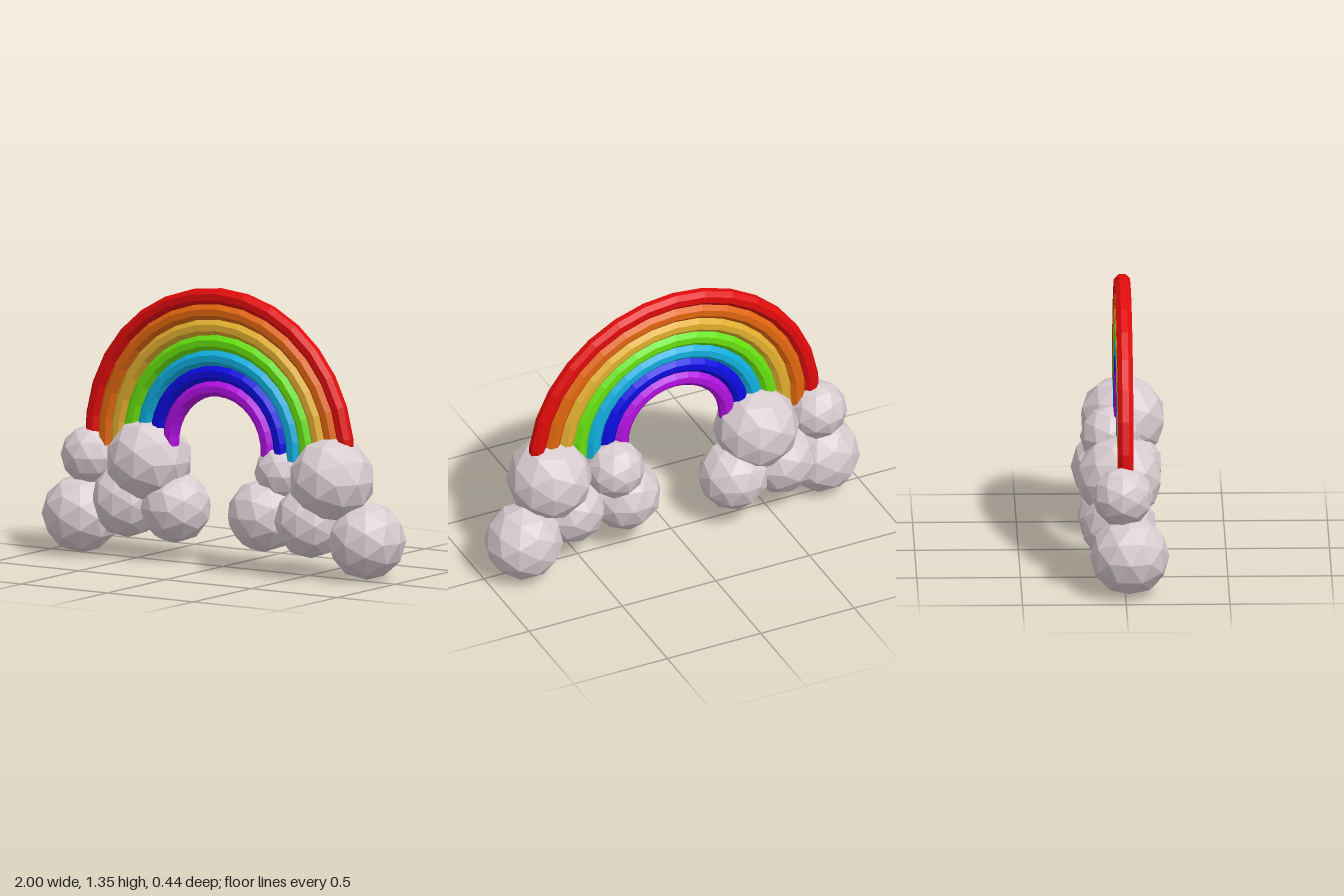
import * as THREE from 'three';

const material = (name, color) => {
  const m = new THREE.MeshStandardMaterial({ color, flatShading: true });
  m.name = name;
  return m;
};

// Octagonal tube swept along a low-poly half circle standing in the xy plane
function archGeometry(radius, tube) {
  const profile = [];
  for (let i = 0; i <= 8; i++) {
    const a = (i + 0.5) * Math.PI / 4;
    profile.push(new THREE.Vector2(radius + tube * Math.cos(a), tube * Math.sin(a)));
  }
  const extra = 0.07; // ends sink into the clouds
  const g = new THREE.LatheGeometry(profile, 16, -Math.PI / 2 - extra, Math.PI + 2 * extra);
  return g.rotateX(-Math.PI / 2);
}

export function createModel() {
  const model = new THREE.Group();
  model.name = 'rainbowWithClouds';

  // Rainbow: nested bands from the outside in
  const rainbow = new THREE.Group();
  rainbow.name = 'rainbow';
  rainbow.position.set(-0.016, 0.577, 0.003);
  const bands = [
    ['red', 0xe20c0c], ['orange', 0xe0660f], ['yellow', 0xe0ae2e], ['green', 0x66e010],
    ['lightBlue', 0x10aede], ['blue', 0x0c0ce0], ['violet', 0xb010e0],
  ];
  bands.forEach(([name, color], i) => {
    const band = new THREE.Mesh(archGeometry(0.735 - i * 0.075, 0.0405), material(name, color));
    band.name = name + 'Band';
    rainbow.add(band);
  });
  model.add(rainbow);

  // Clouds: faceted puffs given as x, y, z, radius
  const cloudMaterial = material('cloudGrey', 0xd9ccd1);
  const puffGeometry = new THREE.IcosahedronGeometry(1, 1);
  const clouds = {
    rightCloud: [
      [-0.81, 0.187, 0.02, 0.192], [-0.57, 0.268, -0.025, 0.183], [-0.31, 0.252, -0.05, 0.175],
      [-0.775, 0.472, -0.012, 0.147], [-0.445, 0.475, -0.022, 0.21],
    ],
    leftCloud: [
      [0.808, 0.187, -0.04, 0.192], [0.53, 0.265, 0.027, 0.18], [0.245, 0.268, 0.01, 0.18],
      [0.325, 0.472, -0.05, 0.147], [0.643, 0.475, 0.015, 0.21],
    ],
  };
  for (const [name, puffs] of Object.entries(clouds)) {
    const cloud = new THREE.Group();
    cloud.name = name;
    puffs.forEach(([x, y, z, r], i) => {
      const puff = new THREE.Mesh(puffGeometry, cloudMaterial);
      puff.name = 'puff' + (i + 1);
      puff.position.set(x, y, z);
      puff.scale.setScalar(r);
      puff.rotation.y = i * 0.7;
      cloud.add(puff);
    });
    model.add(cloud);
  }
  return model;
}
